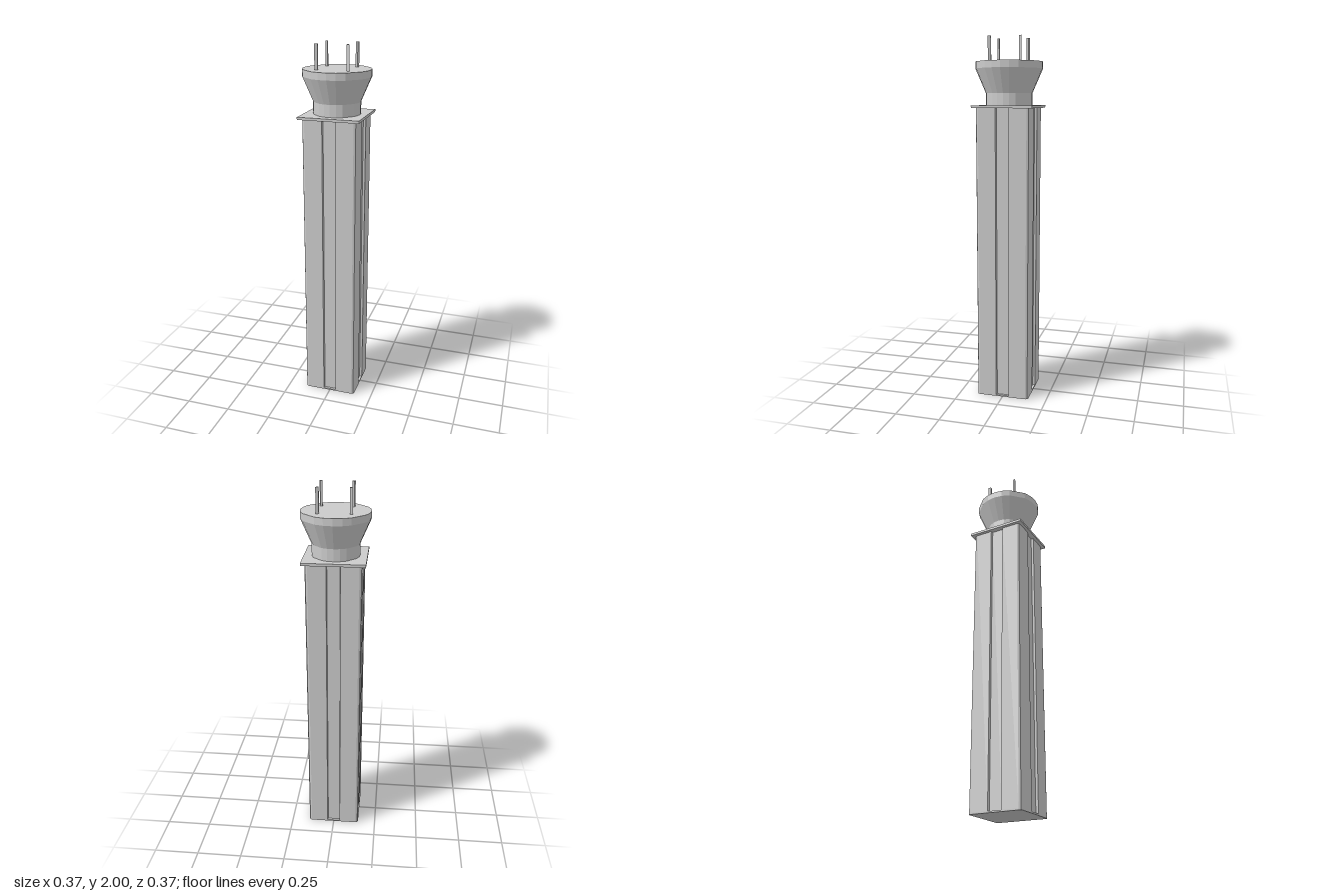
import * as THREE from 'three';

const material = new THREE.MeshStandardMaterial({ color: 0xcccccc, flatShading: true });

function part(name, geometry) {
  const mesh = new THREE.Mesh(geometry, material);
  mesh.name = name;
  return mesh;
}

// Upright prism from a plan outline of [x, z] points.
function prism(points, bottom, top) {
  const shape = new THREE.Shape(points.map(([x, z]) => new THREE.Vector2(x, -z)));
  const geometry = new THREE.ExtrudeGeometry(shape, { depth: top - bottom, bevelEnabled: false });
  return geometry.rotateX(-Math.PI / 2).translate(0, bottom, 0);
}

// Square plan with rounded corners and an optional groove in each side.
function shaftOutline(half, radius, grooveHalf, grooveDepth) {
  const side = [];
  if (grooveDepth > 0) {
    side.push(
      [half, -grooveHalf],
      [half - grooveDepth, -grooveHalf + 0.003],
      [half - grooveDepth, grooveHalf - 0.003],
      [half, grooveHalf],
    );
  }
  for (let i = 0; i <= 2; i++) {
    const a = (i / 2) * Math.PI / 2;
    side.push([half - radius + radius * Math.cos(a), half - radius + radius * Math.sin(a)]);
  }
  const points = [];
  for (let q = 0; q < 4; q++) {
    const c = Math.round(Math.cos(q * Math.PI / 2));
    const s = Math.round(Math.sin(q * Math.PI / 2));
    for (const [x, z] of side) points.push([x * c - z * s, x * s + z * c]);
  }
  return points;
}

// Flared head, with one wide flat facet on each diagonal.
function headGeometry() {
  const profile = [[0, 1.638], [0.127, 1.638], [0.127, 1.703], [0.183, 1.833], [0.183, 1.87], [0, 1.87]];
  const geometry = new THREE.LatheGeometry(profile.map(([r, y]) => new THREE.Vector2(r, y)), 24);
  const pos = geometry.attributes.position;
  const flat = Math.cos(Math.PI / 12);
  for (let i = 0; i < pos.count; i++) {
    const x = pos.getX(i), z = pos.getZ(i);
    if (Math.abs(Math.abs(x) - Math.abs(z)) < 1e-4) pos.setXYZ(i, x * flat, pos.getY(i), z * flat);
  }
  geometry.computeVertexNormals();
  return geometry;
}

export function createModel() {
  const model = new THREE.Group();
  model.name = 'tower';

  // Grooved shaft on a thin base
  model.add(part('base', prism(shaftOutline(0.148, 0.015, 0, 0), 0, 0.008)));
  model.add(part('shaft', prism(shaftOutline(0.148, 0.015, 0.037, 0.013), 0.008, 1.624)));

  // Square cap plate
  model.add(part('capPlate', new THREE.BoxGeometry(0.332, 0.014, 0.332).translate(0, 1.631, 0)));

  // Head
  model.add(part('head', headGeometry()));

  // Four kite-shaped rods, mirrored about both axes
  const kite = [[0.0925, 0.0925], [0.077, 0.088], [0.077, 0.078], [0.088, 0.077]];
  const rods = new THREE.Group();
  rods.name = 'rods';
  for (const sx of [-1, 1]) {
    for (const sz of [-1, 1]) {
      rods.add(part('rod', prism(kite.map(([x, z]) => [x * sx, z * sz]), 1.865, 2)));
    }
  }
  model.add(rods);

  return model;
}
